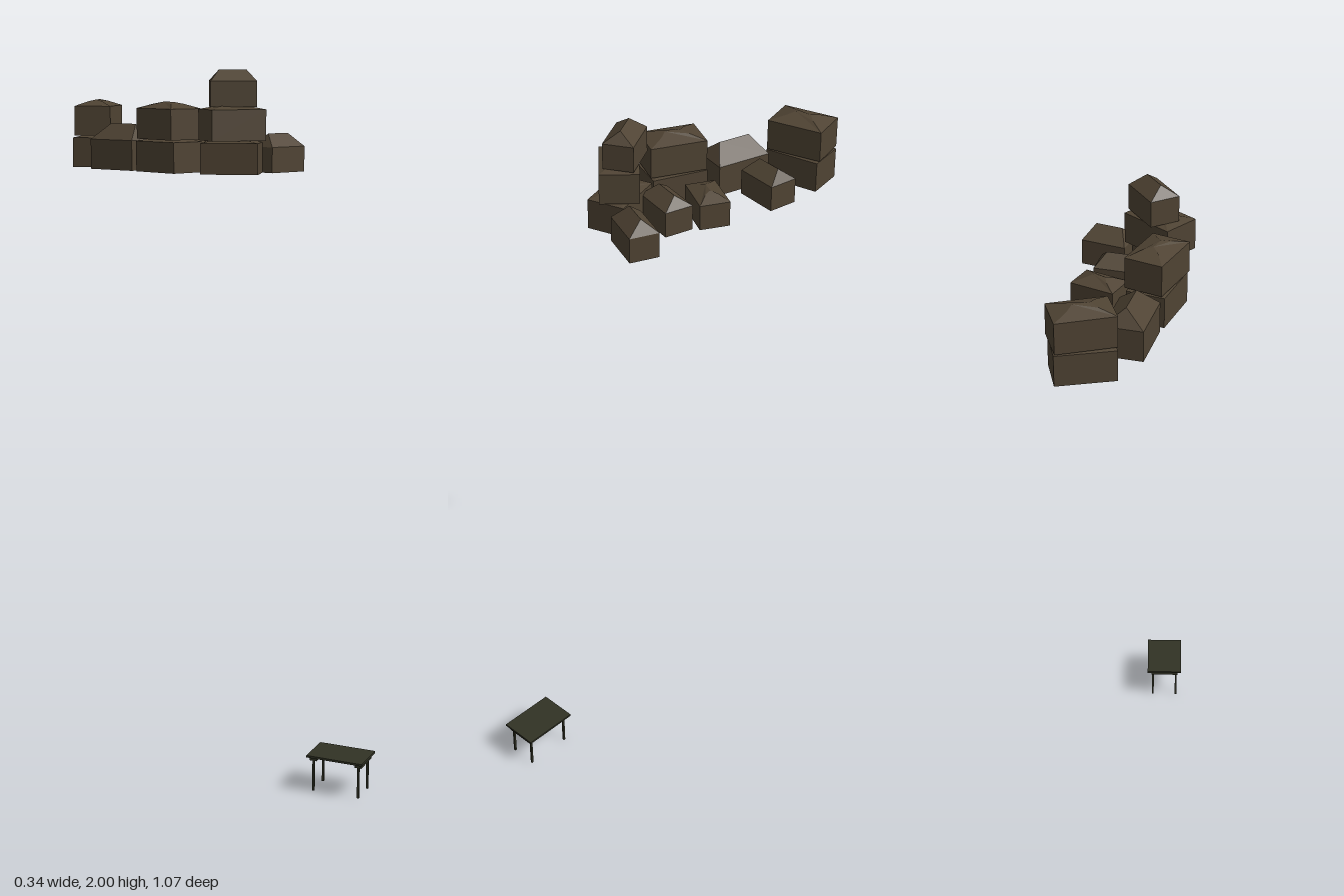
import * as THREE from 'three';

export function createModel() {
  const model = new THREE.Group();
  const cardboard = new THREE.MeshStandardMaterial({ color: 0x4f4333 });
  cardboard.name = 'cardboard brown';
  const olive = new THREE.MeshStandardMaterial({ color: 0x313224 });
  olive.name = 'dark olive';

  // Carton: straight walls with four folded flaps rising to a short ridge.
  // neck = half width of the end flap's inner edge, as a share of the half depth.
  function cartonGeometry(w, d, wall, rise, low) {
    const hx = w / 2, hz = d / 2, top = wall + rise;
    const px = low ? w * 0.25 : hx - d * 0.3;
    const pz = low ? hz * 0.42 : 0;
    const py = low ? wall + rise * 0.7 : top;
    const rx = low ? w * 0.14 : px;
    const out = [];
    const fan = (...p) => {
      for (let i = 1; i < p.length - 1; i++) out.push(...p[0], ...p[i], ...p[i + 1]);
    };
    // Each half is the other turned by 180 degrees
    for (const s of [1, -1]) {
      const v = (x, y, z) => [x * s, y, z * s];
      // Walls
      fan(v(-hx, 0, hz), v(hx, 0, hz), v(hx, wall, hz), v(-hx, wall, hz));
      fan(v(hx, 0, hz), v(hx, 0, -hz), v(hx, wall, -hz), v(hx, wall, hz));
      // Long flap
      fan(v(-rx, top, 0), v(-px, py, pz), v(-hx, wall, hz), v(hx, wall, hz), v(px, py, pz), v(rx, top, 0));
      // End flap and its tip
      fan(v(hx, wall, hz), v(hx, wall, -hz), v(px, py, -pz), v(px, py, pz));
      if (low) fan(v(px, py, pz), v(px, py, -pz), v(rx, top, 0));
    }
    // Underside
    fan([-hx, 0, -hz], [hx, 0, -hz], [hx, 0, hz], [-hx, 0, hz]);
    const g = new THREE.BufferGeometry();
    g.setAttribute('position', new THREE.Float32BufferAttribute(out, 3));
    g.computeVertexNormals();
    return g;
  }

  const small = { w: 0.125, d: 0.083, wall: 0.07 };
  const large = { w: 0.157, d: 0.106, wall: 0.084 };
  const base = 1.72, step = 0.09;
  const quarter = Math.PI / 2;

  function carton(name, size, x, level, z, turn, rise, low = false) {
    const m = new THREE.Mesh(cartonGeometry(size.w, size.d, size.wall, rise, low), cardboard);
    m.name = name;
    m.position.set(x, base + level * step, z);
    m.rotation.y = turn;
    model.add(m);
  }

  // Small cartons on the left side
  carton('smallCartonBack', small, 0.025, 0, -0.313, 0.18, 0.032);
  carton('smallCartonMiddle', small, 0.043, 0, -0.119, -0.17, 0.018, true);
  carton('smallCartonInner', small, 0.025, 0, -0.007, 0.08, 0.03);
  carton('smallCartonFront', small, 0.106, 0, 0.125, -0.07, 0.036);

  // Single large carton
  carton('largeCarton', large, -0.102, 0, -0.277, quarter + 0.07, 0.044);

  // Rear stack of two
  carton('rearStackLower', large, -0.038, 0, -0.451, 0.52, 0.012, true);
  carton('rearStackUpper', large, -0.036, 1, -0.451, 0.59, 0.018, true);

  // Middle stack of two
  carton('middleStackLower', large, -0.105, 0, -0.092, quarter - 0.06, 0.012, true);
  carton('middleStackUpper', large, -0.105, 1, -0.092, quarter - 0.14, 0.018, true);

  // Front stack of three
  carton('frontStackLower', large, -0.048, 0, 0.092, -0.96, 0.012, true);
  carton('frontStackMiddle', large, -0.048, 1, 0.094, -0.445, 0.012, true);
  carton('frontStackTop', small, -0.034, 2, 0.083, -0.75, 0.03);

  // Folding table
  const table = new THREE.Group();
  table.name = 'foldingTable';
  table.position.set(0.037, 0, 0.437);
  table.rotation.y = 0.33;
  model.add(table);
  function slab(name, w, h, d, x, y, z) {
    const m = new THREE.Mesh(new THREE.BoxGeometry(w, h, d), olive);
    m.name = name;
    m.position.set(x, y, z);
    table.add(m);
  }
  slab('tableTop', 0.111, 0.006, 0.166, 0, 0.105, 0);
  for (const sz of [1, -1]) {
    slab('endRail', 0.086, 0.012, 0.02, 0, 0.096, sz * 0.067);
    for (const sx of [1, -1]) slab('tableLeg', 0.006, 0.102, 0.006, sx * 0.038, 0.051, sz * 0.067);
  }
  return model;
}
